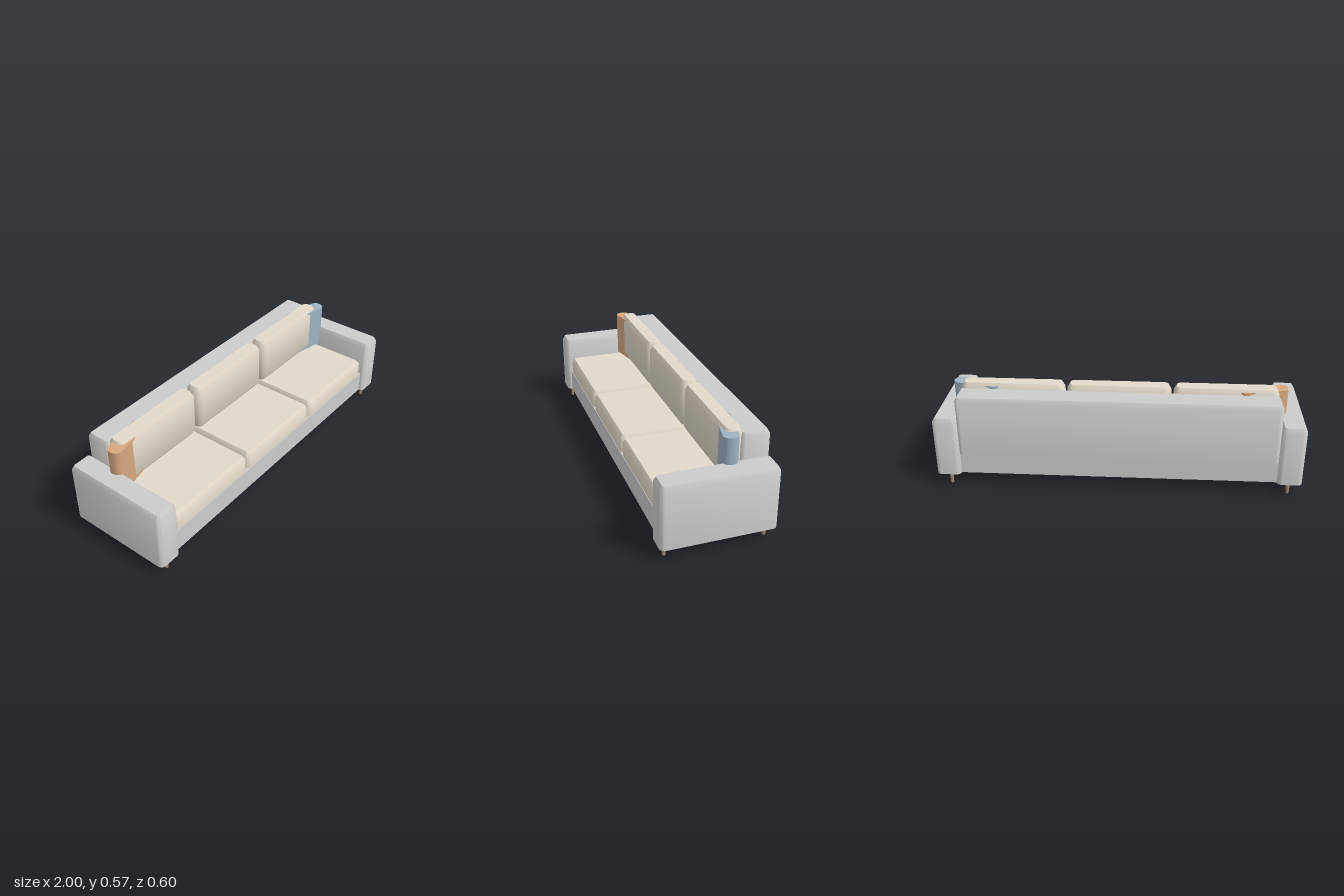
import * as THREE from 'three';
import { toCreasedNormals } from 'three/addons/utils/BufferGeometryUtils.js';

const mat = (color) => new THREE.MeshStandardMaterial({ color });

// Upright block with a rounded-rectangle plan; levels are [y, inset] from bottom to top
function block(w, d, r, levels, seg = 6) {
  const pos = [], index = [];
  const n = 4 * (seg + 1);
  for (const [y, inset] of levels) {
    const rad = Math.max(r - inset, 0.002);
    const cx = w / 2 - inset - rad, cz = d / 2 - inset - rad;
    for (let c = 0; c < 4; c++) {
      const sx = c === 0 || c === 3 ? 1 : -1, sz = c < 2 ? 1 : -1;
      for (let i = 0; i <= seg; i++) {
        const a = (c + i / seg) * Math.PI / 2;
        pos.push(sx * cx + Math.cos(a) * rad, y, sz * cz + Math.sin(a) * rad);
      }
    }
  }
  const last = (levels.length - 1) * n;
  pos.push(0, levels[0][0], 0, 0, levels[levels.length - 1][0], 0);
  const bottom = last + n, top = bottom + 1;
  for (let i = 0; i < n; i++) {
    const j = (i + 1) % n;
    for (let k = 0; k < last; k += n) {
      index.push(k + i, k + n + i, k + j, k + j, k + n + i, k + n + j);
    }
    index.push(bottom, i, j, top, last + j, last + i);
  }
  const g = new THREE.BufferGeometry();
  g.setAttribute('position', new THREE.Float32BufferAttribute(pos, 3));
  g.setIndex(index);
  return toCreasedNormals(g, 0.75);
}

export function createModel() {
  const group = new THREE.Group();
  const grey = mat(0xcccccc), cream = mat(0xe2d9ca), wood = mat(0xa38b72);

  const add = (name, geometry, material, x = 0, y = 0, z = 0) => {
    const m = new THREE.Mesh(geometry, material);
    m.name = name;
    m.position.set(x, y, z);
    group.add(m);
    return m;
  };

  // Base and backrest
  add('base', new THREE.BoxGeometry(1.74, 0.126, 0.55), grey, 0, 0.137, 0);
  add('backrest', block(1.73, 0.151, 0.025, [[0.2, 0], [0.515, 0], [0.538, 0.014]]), grey, 0, 0, -0.2235);

  // Three seat cushions with a back cushion on each
  const seat = block(0.565, 0.425, 0.025, [[0.2, 0], [0.278, 0], [0.3, 0.015]]);
  const back = block(0.562, 0.1, 0.04, [[0.3, 0.016], [0.327, 0], [0.538, 0], [0.566, 0.016]]);
  for (let i = -1; i <= 1; i++) {
    add('seatCushion', seat, cream, i * 0.574, 0, 0.06);
    add('backCushion', back, cream, i * 0.574, 0, -0.115);
  }

  // Armrests, legs and throw pillows, mirrored left and right
  const arm = block(0.135, 0.6, 0.028, [[0.073, 0], [0.387, 0], [0.412, 0.015]]);
  const leg = new THREE.CylinderGeometry(0.0118, 0.0085, 0.075, 16);
  const pillow = block(0.272, 0.08, 0.036, [[0.3, 0], [0.552, 0]], 8);
  for (const s of [1, -1]) {
    const side = s > 0 ? 'left' : 'right';
    add(side + 'Armrest', arm, grey, s * 0.9325);
    for (const z of [0.26, -0.26]) add(side + 'Leg', leg, wood, s * 0.93, 0.0375, z);
    const p = add(side + 'Pillow', pillow, mat(s > 0 ? 0x9db3c2 : 0xd8a880), s * 0.772, 0, -0.107);
    p.rotation.y = -s * 0.215;
  }
  return group;
}
